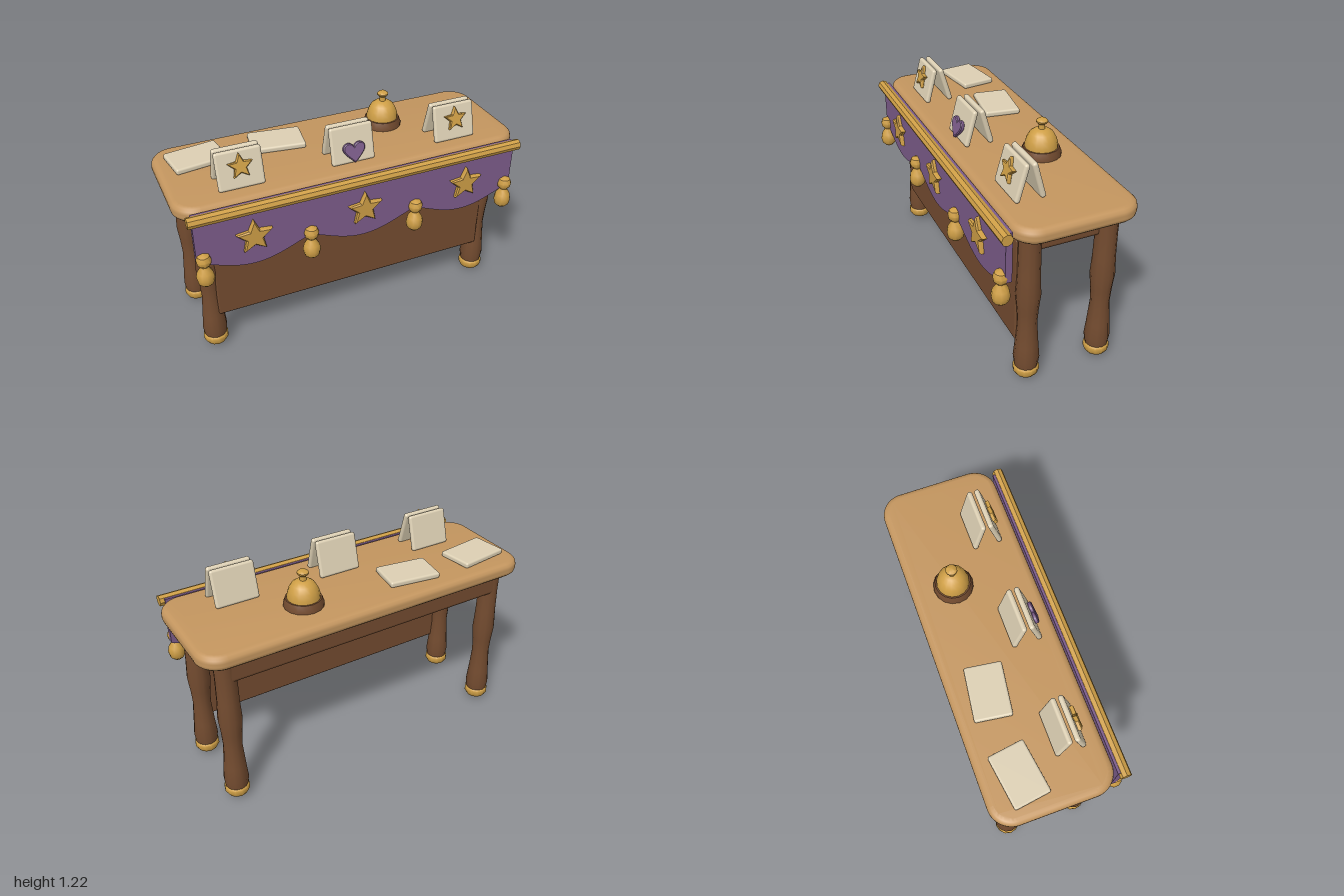
import * as THREE from 'three';
import { toCreasedNormals } from 'three/addons/utils/BufferGeometryUtils.js';
import { RoundedBoxGeometry } from 'three/addons/geometries/RoundedBoxGeometry.js';

const mat = (color) => new THREE.MeshStandardMaterial({ color });
const TAN = mat(0xc4965f), WOOD = mat(0x744c30), GOLD = mat(0xcf9f46);
const PURPLE = mat(0x7c5c8a), CREAM = mat(0xddd0b4);

function add(parent, name, geometry, material, x = 0, y = 0, z = 0) {
  const mesh = new THREE.Mesh(geometry, material);
  mesh.name = name;
  mesh.position.set(x, y, z);
  parent.add(mesh);
  return mesh;
}

// Turned shape from [radius, height] pairs
function turned(profile, sides) {
  const points = profile.map(([r, y]) => new THREE.Vector2(r, y));
  return toCreasedNormals(new THREE.LatheGeometry(points, sides), 0.75);
}

// Extrusion centred on z = 0, total thickness includes the bevel
function slab(shape, thickness, bevel, segments = 1) {
  const depth = thickness - 2 * bevel;
  const geometry = new THREE.ExtrudeGeometry(shape, {
    depth, bevelEnabled: bevel > 0, bevelThickness: bevel, bevelSize: bevel,
    bevelOffset: -bevel, bevelSegments: segments, curveSegments: 8,
  });
  return toCreasedNormals(geometry.translate(0, 0, -depth / 2), 0.6);
}

function starShape(radius) {
  const points = [];
  for (let i = 0; i < 10; i++) {
    const a = Math.PI / 2 + i * Math.PI / 5;
    const r = i % 2 ? radius * 0.48 : radius;
    points.push(new THREE.Vector2(r * Math.cos(a), r * Math.sin(a)));
  }
  return new THREE.Shape(points);
}

function heartShape(s) {
  const shape = new THREE.Shape();
  shape.moveTo(0, -s);
  shape.bezierCurveTo(s * 0.5, -s * 0.5, s * 1.1, 0, s * 1.05, s * 0.4);
  shape.bezierCurveTo(s, s * 0.95, s * 0.25, s * 1.05, 0, s * 0.5);
  shape.bezierCurveTo(-s * 0.25, s * 1.05, -s, s * 0.95, -s * 1.05, s * 0.4);
  shape.bezierCurveTo(-s * 1.1, 0, -s * 0.5, -s * 0.5, 0, -s);
  return shape;
}

function roundedRect(w, h, r) {
  const shape = new THREE.Shape();
  shape.absarc(w / 2 - r, h / 2 - r, r, 0, Math.PI / 2);
  shape.absarc(-w / 2 + r, h / 2 - r, r, Math.PI / 2, Math.PI);
  shape.absarc(-w / 2 + r, -h / 2 + r, r, Math.PI, Math.PI * 1.5);
  shape.absarc(w / 2 - r, -h / 2 + r, r, Math.PI * 1.5, Math.PI * 2);
  return shape;
}

function drapeShape() {
  const points = [new THREE.Vector2(0.935, 0.995), new THREE.Vector2(-0.935, 0.995)];
  const steps = 48;
  for (let i = 0; i <= steps; i++) {
    const x = -0.935 + 1.87 * i / steps;
    const c = Math.cos(Math.PI * x / 0.625);
    points.push(new THREE.Vector2(x, 0.715 - 0.09 * Math.pow(Math.abs(c), 1.2)));
  }
  return new THREE.Shape(points);
}

export function createModel() {
  const model = new THREE.Group();
  model.name = 'stallTable';

  // Table top, apron and front panel
  const top = slab(roundedRect(2, 0.675, 0.13), 0.085, 0.034, 3).rotateX(-Math.PI / 2);
  add(model, 'tableTop', top, TAN, 0, 0.967, -0.048);
  add(model, 'apron', new RoundedBoxGeometry(1.73, 0.15, 0.525, 2, 0.025), WOOD, 0, 0.865, -0.055);
  add(model, 'frontPanel', new RoundedBoxGeometry(1.66, 0.62, 0.05, 1, 0.01), WOOD, 0, 0.55, 0.2);

  // Four turned legs with gold feet
  const leg = turned([[0, 0.06], [0.062, 0.07], [0.07, 0.13], [0.062, 0.22], [0.052, 0.36],
    [0.057, 0.45], [0.066, 0.54], [0.06, 0.66], [0.058, 0.8], [0.06, 0.93]], 12);
  const foot = turned([[0, 0], [0.03, 0.004], [0.058, 0.022], [0.071, 0.045], [0.07, 0.07],
    [0.06, 0.083], [0, 0.083]], 12);
  for (const x of [-0.85, 0.85]) for (const z of [-0.262, 0.165]) {
    add(model, 'leg', leg, WOOD, x, 0, z);
    add(model, 'foot', foot, GOLD, x, 0, z);
  }

  // Scalloped drape hanging from a rod
  add(model, 'drape', slab(drapeShape(), 0.035, 0), PURPLE, 0, 0, 0.313);
  const rod = toCreasedNormals(new THREE.CylinderGeometry(0.031, 0.031, 1.92, 8), 0.6);
  add(model, 'rod', rod.rotateZ(Math.PI / 2), GOLD, 0, 0.975, 0.333);

  // Tassels
  const tassel = turned([[0, 0.575], [0.022, 0.576], [0.042, 0.595], [0.049, 0.628], [0.042, 0.66],
    [0.026, 0.685], [0.022, 0.697], [0.037, 0.715], [0.041, 0.737], [0.032, 0.762], [0, 0.776]], 10);
  for (const x of [-0.9, -0.3125, 0.3125, 0.9]) add(model, 'tassel', tassel, GOLD, x, 0, 0.338);

  // Stars on the drape
  const bigStar = slab(starShape(0.103), 0.034, 0.008);
  for (const x of [-0.625, 0, 0.625]) add(model, 'drapeStar', bigStar, GOLD, x, 0.805, 0.338);

  // Folded cards, each with a star or a heart
  const board = new RoundedBoxGeometry(0.25, 0.208, 0.03, 3, 0.014);
  const smallStar = slab(starShape(0.07), 0.024, 0.005);
  const heart = slab(heartShape(0.06), 0.024, 0.005);
  for (const x of [-0.625, 0, 0.625]) {
    const card = new THREE.Group();
    card.name = 'foldedCard';
    card.position.set(x, 1.11, 0);
    const front = new THREE.Group();
    front.name = 'cardFront';
    front.position.z = 0.158;
    front.rotation.x = -0.27;
    add(front, 'frontBoard', board, CREAM);
    if (x) add(front, 'cardStar', smallStar, GOLD, 0, 0.018, 0.025);
    else add(front, 'cardHeart', heart, PURPLE, 0, -0.04, 0.025);
    card.add(front);
    add(card, 'backBoard', board, CREAM, 0, 0, 0.068).rotation.x = 0.27;
    model.add(card);
  }

  // Loose cards lying flat
  const flatCard = new RoundedBoxGeometry(0.3, 0.034, 0.205, 2, 0.012);
  for (const [x, turn] of [[-0.77, 0.14], [-0.31, -0.14]]) {
    add(model, 'flatCard', flatCard, CREAM, x, 1.026, -0.178).rotation.y = turn;
  }

  // Counter bell
  const bell = new THREE.Group();
  bell.name = 'bell';
  bell.position.set(0.335, 1.005, -0.15);
  add(bell, 'bellBase', turned([[0, 0], [0.11, 0], [0.11, 0.018], [0.098, 0.05], [0, 0.05]], 16), WOOD);
  add(bell, 'bellDome', turned([[0, 0.045], [0.09, 0.045], [0.089, 0.07], [0.08, 0.1], [0.063, 0.13],
    [0.04, 0.147], [0.018, 0.152], [0.016, 0.182], [0, 0.182]], 16), GOLD);
  add(bell, 'bellButton', turned([[0, 0.176], [0.02, 0.178], [0.032, 0.19], [0.032, 0.197],
    [0.02, 0.208], [0, 0.212]], 12), GOLD);
  model.add(bell);

  return model;
}
